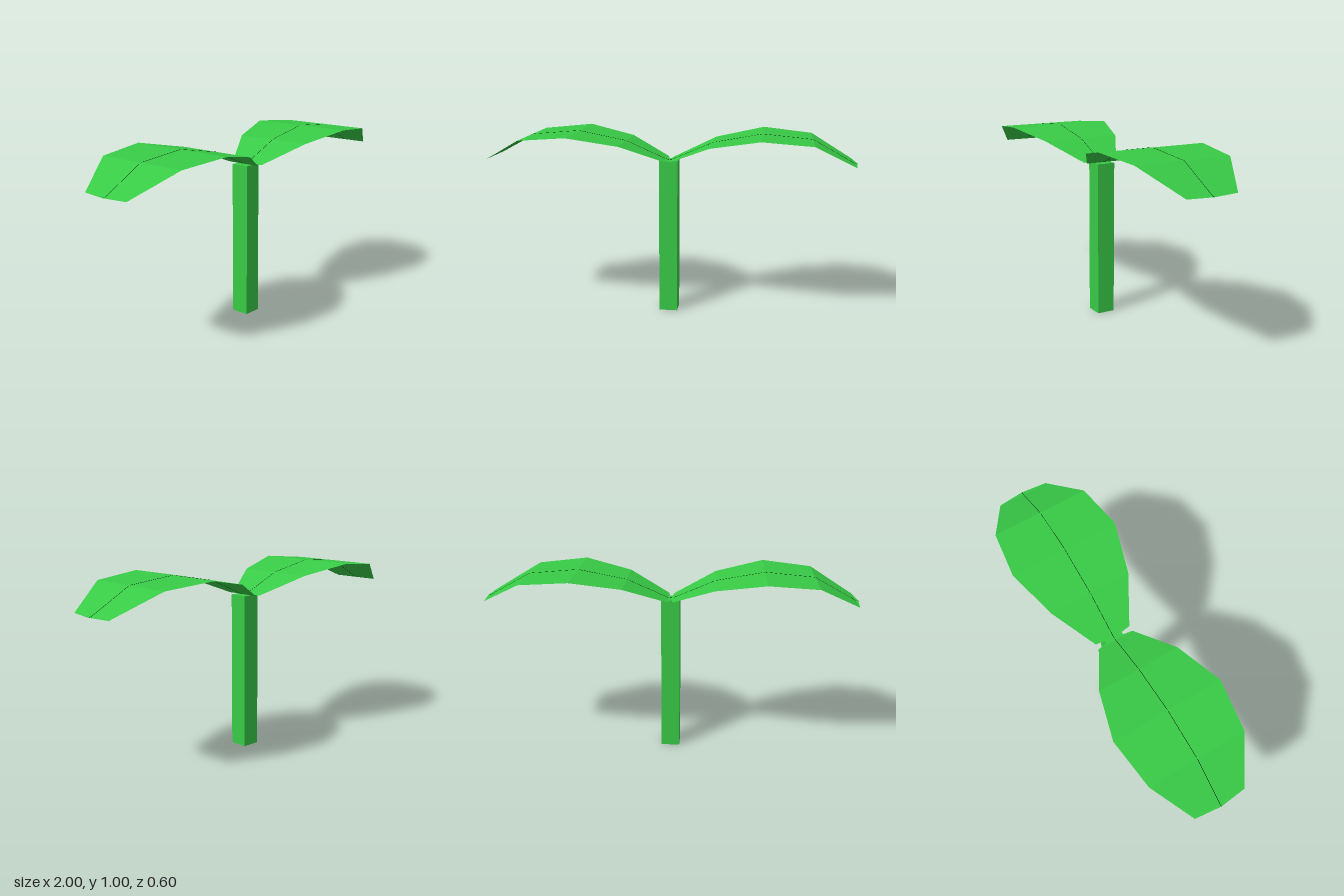
import * as THREE from 'three';

// Leaf cross-sections from stem to tip: [distance, height, half width]
const SECTIONS = [
  [0.015, 0.853, 0.1],
  [0.238, 0.95, 0.225],
  [0.5, 1.0, 0.3],
  [0.765, 0.976, 0.265],
  [0.985, 0.854, 0.14],
];
const ROOT = [0, 0.851, 0];
const TIP = [1, 0.852, 0];
const STEM_HEIGHT = 0.85;

// Folded strip of facets, closed by a triangle at each end
function leafGeometry() {
  const pos = [];
  const tri = (...pts) => pts.forEach((p) => pos.push(...p));
  const front = ([x, y, w]) => [x, y, w];
  const back = ([x, y, w]) => [x, y, -w];
  const first = SECTIONS[0];
  const last = SECTIONS[SECTIONS.length - 1];

  tri(ROOT, front(first), back(first));
  for (let i = 0; i < SECTIONS.length - 1; i++) {
    const a = SECTIONS[i], b = SECTIONS[i + 1];
    tri(back(a), front(a), front(b));
    tri(back(a), front(b), back(b));
  }
  tri(back(last), front(last), TIP);

  const geo = new THREE.BufferGeometry();
  geo.setAttribute('position', new THREE.Float32BufferAttribute(pos, 3));
  geo.computeVertexNormals();
  return geo;
}

// Hair-thin midrib following the folds of the leaf
function midribGeometry() {
  const points = [ROOT, ...SECTIONS.map(([x, y]) => [x, y, 0]), TIP]
    .map((p) => new THREE.Vector3(...p));
  const path = new THREE.CurvePath();
  for (let i = 0; i < points.length - 1; i++) {
    path.add(new THREE.LineCurve3(points[i], points[i + 1]));
  }
  return new THREE.TubeGeometry(path, 60, 0.001, 4);
}

export function createModel() {
  const group = new THREE.Group();
  group.name = 'sprout';
  const green = new THREE.MeshStandardMaterial({ name: 'leafGreen', color: 0x38ca46 });
  green.flatShading = true;
  green.side = THREE.DoubleSide;
  const black = new THREE.MeshStandardMaterial({ name: 'midribBlack', color: 0x000000 });

  // Square stem
  const stem = new THREE.Mesh(new THREE.BoxGeometry(0.1, STEM_HEIGHT, 0.1), green);
  stem.name = 'stem';
  stem.position.y = STEM_HEIGHT / 2;
  group.add(stem);

  // Two opposite leaves, each with its midrib
  const leafGeo = leafGeometry();
  const midribGeo = midribGeometry();
  ['left', 'right'].forEach((side, i) => {
    const leaf = new THREE.Group();
    leaf.name = `${side}Leaf`;
    const blade = new THREE.Mesh(leafGeo, green);
    blade.name = `${side}Blade`;
    const midrib = new THREE.Mesh(midribGeo, black);
    midrib.name = `${side}Midrib`;
    leaf.add(blade, midrib);
    leaf.rotation.y = i * Math.PI;
    group.add(leaf);
  });

  return group;
}
